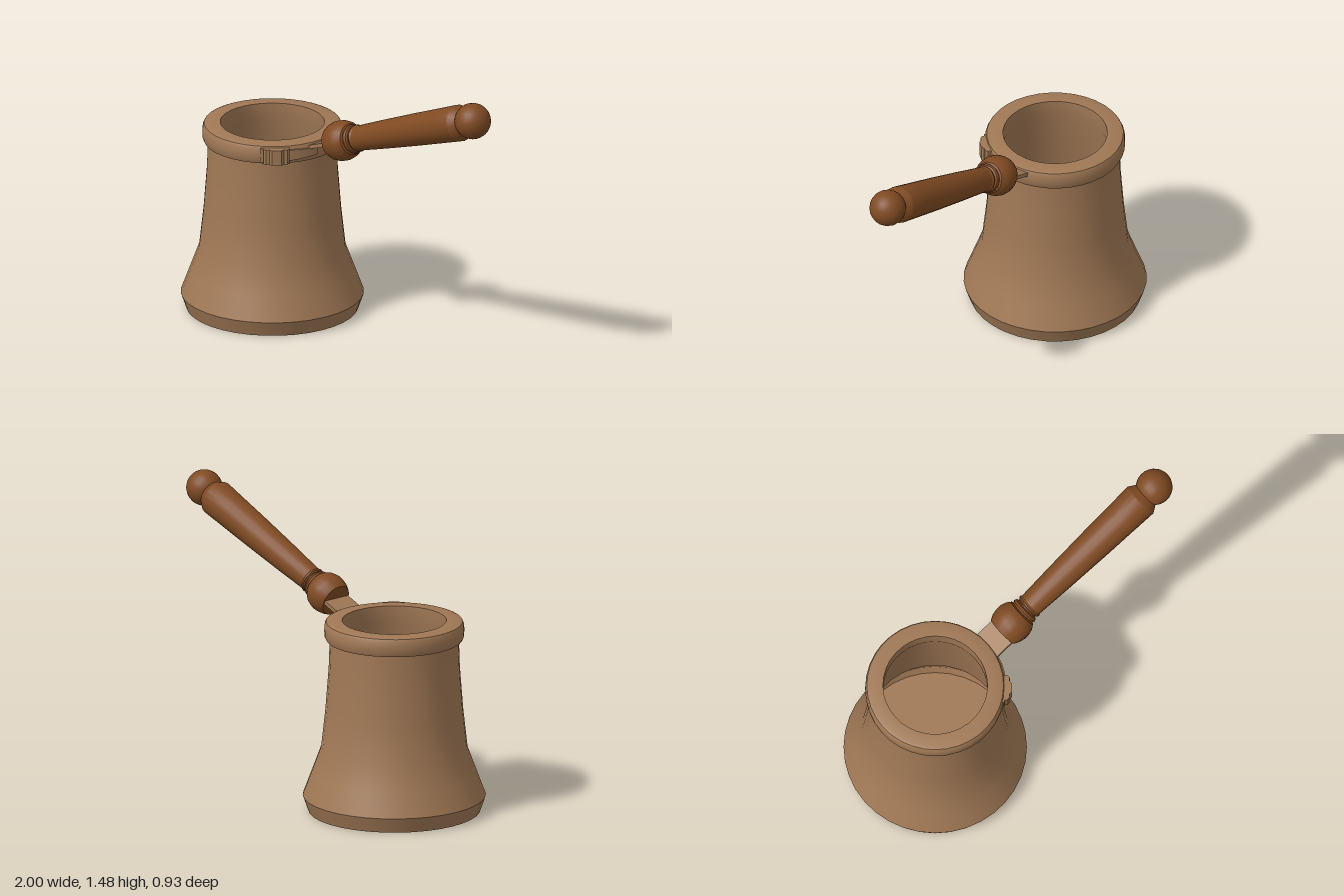
import * as THREE from 'three';
import { toCreasedNormals } from 'three/addons/utils/BufferGeometryUtils.js';

const copper = new THREE.MeshStandardMaterial({ color: 0xa07855 });
copper.name = 'copper';
const wood = new THREE.MeshStandardMaterial({ color: 0x7f4a22 });
wood.name = 'wood';

const POT_X = -0.535;   // pot axis
const TILT = 0.365;     // handle rise above horizontal

function mesh(name, geometry, material, parent) {
  const m = new THREE.Mesh(geometry, material);
  m.name = name;
  parent.add(m);
  return m;
}

// Turned part from [radius, height] pairs, with sharp edges kept
function turned(points, segments, crease = 0.5, start = 0, sweep = Math.PI * 2) {
  const profile = points.map(([r, y]) => new THREE.Vector2(r, y));
  return toCreasedNormals(new THREE.LatheGeometry(profile, segments, start, sweep), crease);
}

export function createModel() {
  const model = new THREE.Group();
  model.name = 'coffeePot';

  const pot = new THREE.Group();
  pot.name = 'pot';
  pot.position.x = POT_X;
  model.add(pot);

  // Hollow body with rolled collar: outside going up, inside going down
  mesh('body', turned([
    [0, 0], [0.437, 0], [0.465, 0.08], [0.418, 0.205], [0.372, 0.33],
    [0.35, 0.53], [0.333, 0.75], [0.328, 0.9],
    [0.347, 0.9], [0.354, 0.915], [0.356, 0.945], [0.354, 0.978], [0.347, 0.992], [0.335, 0.997],
    [0.265, 0.997], [0.265, 0.915], [0.31, 0.75], [0.35, 0.33], [0.435, 0.08], [0.42, 0.03], [0, 0.03],
  ], 36), copper, pot);

  // Thin band on the collar, narrowing towards the handle
  const bandStart = Math.PI / 2 - 0.95, bandSweep = 0.87;
  const bandGeometry = new THREE.LatheGeometry(
    [[0.35, 0.908], [0.361, 0.908], [0.361, 0.985], [0.35, 0.985]].map(([r, y]) => new THREE.Vector2(r, y)),
    10, bandStart, bandSweep);
  const p = bandGeometry.attributes.position;
  for (let i = 0; i < p.count; i++) {
    const t = (Math.atan2(p.getX(i), p.getZ(i)) - bandStart) / bandSweep;
    p.setY(i, 0.945 + (p.getY(i) - 0.945) * (1 - 0.5 * t));
  }
  mesh('collarBand', toCreasedNormals(bandGeometry, 0.5), copper, pot);

  // Lobed clasp: x points outwards, y runs along the collar
  const half = [[0, 0.066], [0.018, 0.066], [0.03, 0.054], [0.03, 0.036], [0.042, 0.024]];
  const outline = [...half, ...half.slice().reverse().map(([x, y]) => [x, -y])].reverse();
  const claspGeometry = new THREE.ExtrudeGeometry(
    new THREE.Shape(outline.map(([x, y]) => new THREE.Vector2(x, y))),
    { depth: 0.08, bevelEnabled: false });
  claspGeometry.rotateX(-Math.PI / 2).translate(0.347, 0.905, 0);
  mesh('clasp', claspGeometry, copper, pot).rotation.y = -0.72;

  // Flat tongue joining collar and handle
  const tongue = mesh('handleTongue', new THREE.BoxGeometry(0.19, 0.02, 0.156), copper, model);
  tongue.position.set(-0.13, 0.995, 0);
  tongue.rotation.z = TILT;

  // Turned wooden handle, built along its own axis
  const handle = new THREE.Group();
  handle.name = 'handle';
  handle.position.set(-0.09, 1.007, 0);
  handle.rotation.z = TILT - Math.PI / 2;
  model.add(handle);

  mesh('handleBulb', turned([
    [0, 0], [0.085, 0], [0.097, 0.025], [0.104, 0.055], [0.104, 0.085],
    [0.096, 0.115], [0.08, 0.138], [0.058, 0.145],
  ], 20, 0.6), wood, handle);
  mesh('handleRings', turned([
    [0.058, 0.14], [0.07, 0.145], [0.075, 0.155], [0.07, 0.167], [0.059, 0.172],
    [0.059, 0.178], [0.068, 0.184], [0.07, 0.192], [0.064, 0.202],
  ], 20, 0.7), wood, handle);
  mesh('handleShaft', turned([
    [0.064, 0.2], [0.074, 0.4], [0.084, 0.65], [0.09, 0.85], [0.094, 0.975],
    [0.089, 0.985], [0.066, 1.02], [0, 1.02],
  ], 20), wood, handle);

  const knob = mesh('handleKnob', new THREE.SphereGeometry(0.093, 20, 14), wood, handle);
  knob.position.y = 1.073;

  return model;
}
